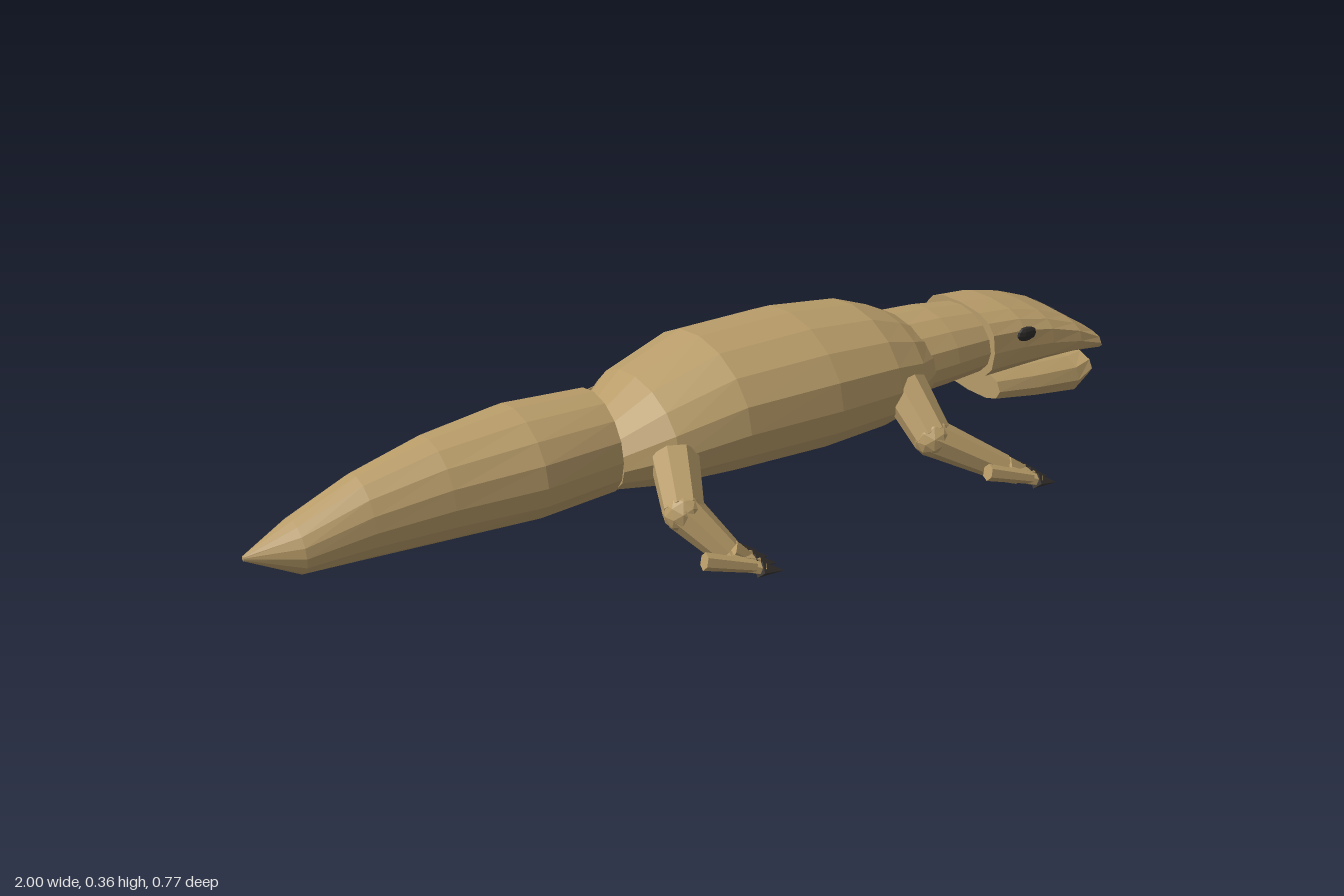
import * as THREE from 'three';

const mat = (name, color) => {
  const m = new THREE.MeshStandardMaterial({ color, flatShading: true });
  m.name = name;
  return m;
};

// Loft along x. Each section: [x, bottom, top, halfWidth]; power < 1 squares the section.
function loft(sections, sides, power = 1) {
  const rings = sections.map(([x, lo, hi, w]) => {
    const ring = [];
    for (let j = 0; j < sides; j++) {
      const a = (j / sides) * Math.PI * 2;
      const sq = (v) => Math.sign(v) * Math.pow(Math.abs(v), power);
      ring.push([x, (lo + hi) / 2 + sq(Math.cos(a)) * (hi - lo) / 2, sq(Math.sin(a)) * w]);
    }
    return ring;
  });
  const pos = [];
  const tri = (a, b, c) => pos.push(...a, ...b, ...c);
  for (let i = 0; i < rings.length - 1; i++) {
    for (let j = 0; j < sides; j++) {
      const k = (j + 1) % sides;
      const [a, b, c, d] = [rings[i][j], rings[i + 1][j], rings[i][k], rings[i + 1][k]];
      tri(a, c, b);
      tri(b, c, d);
    }
  }
  const end = rings.length - 1;
  const mid = (s) => [s[0], (s[1] + s[2]) / 2, 0];
  for (let j = 0; j < sides; j++) {
    const k = (j + 1) % sides;
    tri(mid(sections[0]), rings[0][k], rings[0][j]);
    tri(mid(sections[end]), rings[end][j], rings[end][k]);
  }
  const g = new THREE.BufferGeometry();
  g.setAttribute('position', new THREE.Float32BufferAttribute(pos, 3));
  g.computeVertexNormals();
  return g;
}

// Tapered limb piece from p to q
function segment(name, material, p, q, r1, r2, sides = 8) {
  const a = new THREE.Vector3(...p), b = new THREE.Vector3(...q);
  const dir = b.clone().sub(a);
  const m = new THREE.Mesh(new THREE.CylinderGeometry(r2, r1, dir.length(), sides), material);
  m.name = name;
  m.position.copy(a).add(b).multiplyScalar(0.5);
  m.quaternion.setFromUnitVectors(new THREE.Vector3(0, 1, 0), dir.normalize());
  return m;
}

export function createModel() {
  const root = new THREE.Group();
  root.name = 'reptile';
  const skin = mat('skin', 0xb89c69);
  const claw = mat('claw', 0x3b3734);
  const dark = mat('eye', 0x2e2c2b);

  const add = (name, geometry, material, x = 0, y = 0, z = 0) => {
    const m = new THREE.Mesh(geometry, material);
    m.name = name;
    m.position.set(x, y, z);
    root.add(m);
    return m;
  };

  // Trunk, tail and neck
  add('tail', loft([
    [-1, 0.14, 0.15, 0.004], [-0.9, 0.088, 0.195, 0.06], [-0.77, 0.084, 0.25, 0.082],
    [-0.62, 0.08, 0.287, 0.108], [-0.44, 0.076, 0.306, 0.135], [-0.265, 0.082, 0.298, 0.115],
  ], 16), skin);
  add('body', loft([
    [-0.262, 0.093, 0.24, 0.11], [-0.17, 0.085, 0.307, 0.168], [-0.02, 0.077, 0.36, 0.195],
    [0.2, 0.07, 0.363, 0.198], [0.36, 0.076, 0.345, 0.182], [0.44, 0.09, 0.315, 0.16],
    [0.495, 0.12, 0.285, 0.125],
  ], 16), skin);
  add('neck', loft([
    [0.47, 0.118, 0.297, 0.127], [0.56, 0.122, 0.292, 0.122], [0.67, 0.128, 0.278, 0.108],
  ], 16), skin);

  // Head and jaws
  add('head', loft([
    [0.655, 0.128, 0.285, 0.123], [0.74, 0.132, 0.277, 0.125], [0.82, 0.137, 0.257, 0.127],
    [0.9, 0.14, 0.226, 0.129], [0.96, 0.141, 0.188, 0.129], [0.972, 0.142, 0.165, 0.12],
  ], 16, 0.7), skin);
  add('lowerJaw', loft([
    [0.69, 0.066, 0.137, 0.108], [0.8, 0.046, 0.128, 0.11], [0.92, 0.028, 0.122, 0.11],
    [0.965, 0.06, 0.122, 0.102],
  ], 12, 0.8), skin);
  root.add(segment('snoutTooth', skin, [0.95, 0.14, 0], [1.0, 0.133, 0], 0.02, 0.001, 6));
  const crease = add('snoutCrease', new THREE.BoxGeometry(0.004, 0.003, 0.07), dark, 0.9, 0.225, 0);
  crease.rotation.z = -0.5;

  for (const s of [1, -1]) {
    // Eyes and nostrils
    const eye = add('eye', new THREE.SphereGeometry(1, 10, 6), dark, 0.745, 0.231, s * 0.117);
    eye.scale.set(0.029, 0.017, 0.01);
    const nostril = add('nostril', new THREE.SphereGeometry(1, 6, 4), dark, 0.951, 0.184, s * 0.074);
    nostril.scale.set(0.006, 0.005, 0.006);

    // Legs: the hip, knee and ankle of each pair
    const pairs = [
      ['frontLeg', [0.395, 0.2, 0.14], [0.4, 0.122, 0.238], [0.535, 0.045, 0.31], 0],
      ['hindLeg', [-0.165, 0.185, 0.14], [-0.205, 0.122, 0.238], [-0.15, 0.05, 0.31], -0.69],
    ];
    for (const [name, hip, knee, ankle, dx] of pairs) {
      const leg = new THREE.Group();
      leg.name = name;
      const side = (p) => [p[0], p[1], p[2] * s];
      const put = (label, m, p, q, r1, r2, n) => leg.add(segment(label, m, side(p), side(q), r1, r2, n));
      put('thigh', skin, hip, knee, 0.05, 0.042, 8);
      const joint = new THREE.Mesh(new THREE.IcosahedronGeometry(0.042, 1), skin);
      joint.name = 'knee';
      joint.position.set(...side(knee));
      leg.add(joint);
      put('shin', skin, knee, ankle, 0.041, 0.029, 8);
      put('foot', skin, ankle, [0.57 + dx, 0.027, 0.318], 0.03, 0.024, 8);
      // Four toes tipped with claws
      for (let i = 0; i < 4; i++) {
        const z = 0.274 + i * 0.031;
        const x = 0.595 + dx - Math.abs(i - 1.5) * 0.004;
        put('toe', skin, [0.53 + dx, 0.045, 0.3 + i * 0.012], [x, 0.025, z], 0.016, 0.013, 6);
        put('claw', claw, [x - 0.012, 0.028, z], [x + 0.042, 0.01, z], 0.018, 0.001, 4);
      }
      // Outer spur of the foot
      put('outerToe', skin, [0.468 + dx, 0.066, 0.34], [0.57 + dx, 0.034, 0.36], 0.018, 0.013, 6);
      root.add(leg);
    }
  }
  return root;
}
